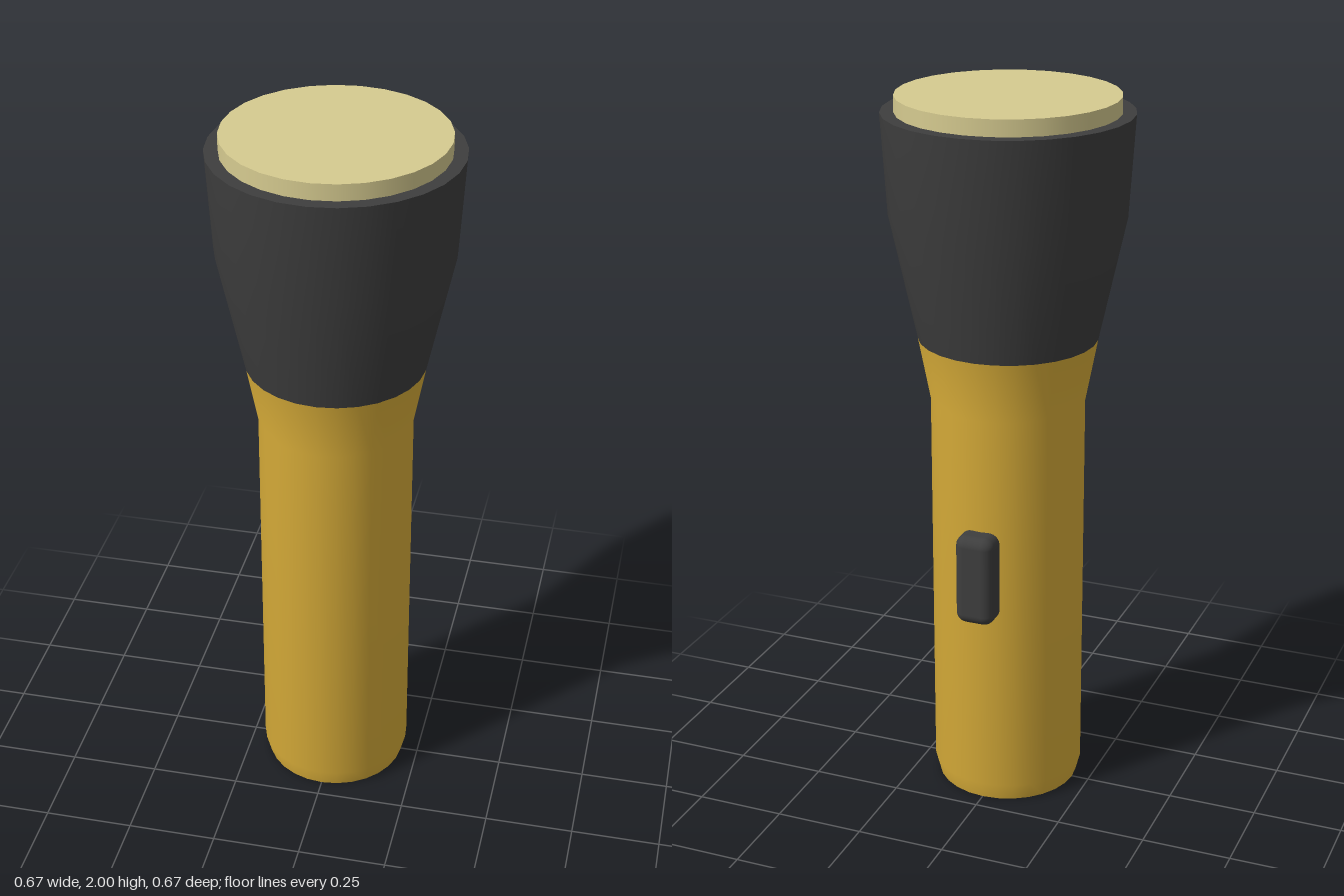
import * as THREE from 'three';
import { toCreasedNormals } from 'three/addons/utils/BufferGeometryUtils.js';
import { RoundedBoxGeometry } from 'three/addons/geometries/RoundedBoxGeometry.js';

const SIDES = 28;

function material(name, color) {
  const m = new THREE.MeshStandardMaterial({ color });
  m.name = name;
  return m;
}

// Turned part from [radius, height] pairs, listed from bottom to top
function turned(name, profile, mat) {
  const points = profile.map(([r, y]) => new THREE.Vector2(r, y));
  const geometry = toCreasedNormals(new THREE.LatheGeometry(points, SIDES), 0.6);
  const mesh = new THREE.Mesh(geometry, mat);
  mesh.name = name;
  return mesh;
}

export function createModel() {
  const yellow = material('yellow casing', 0xdcb03a);
  const charcoal = material('charcoal rubber', 0x3e3e3e);
  const cream = material('cream lens', 0xd6cb90);

  const group = new THREE.Group();
  group.name = 'flashlight';

  // Handle with a bevelled foot and a flare towards the head
  group.add(turned('handle', [
    [0, 0], [0.2, 0], [0.213, 0.05], [0.213, 1.16], [0.246, 1.335],
  ], yellow));

  // Flared head with a flat rim
  group.add(turned('head', [
    [0.246, 1.335], [0.32, 1.68], [0.337, 1.955], [0, 1.955],
  ], charcoal));

  // Lens disc standing slightly proud of the rim
  const lens = new THREE.Mesh(new THREE.CylinderGeometry(0.3, 0.3, 0.06, SIDES), cream);
  lens.name = 'lens';
  lens.position.y = 1.97;
  group.add(lens);

  // Rounded switch on the back of the handle
  const button = new THREE.Mesh(new RoundedBoxGeometry(0.11, 0.26, 0.11, 4, 0.03), charcoal);
  button.name = 'switch';
  button.position.set(0, 0.708, -0.216);
  group.add(button);

  return group;
}
